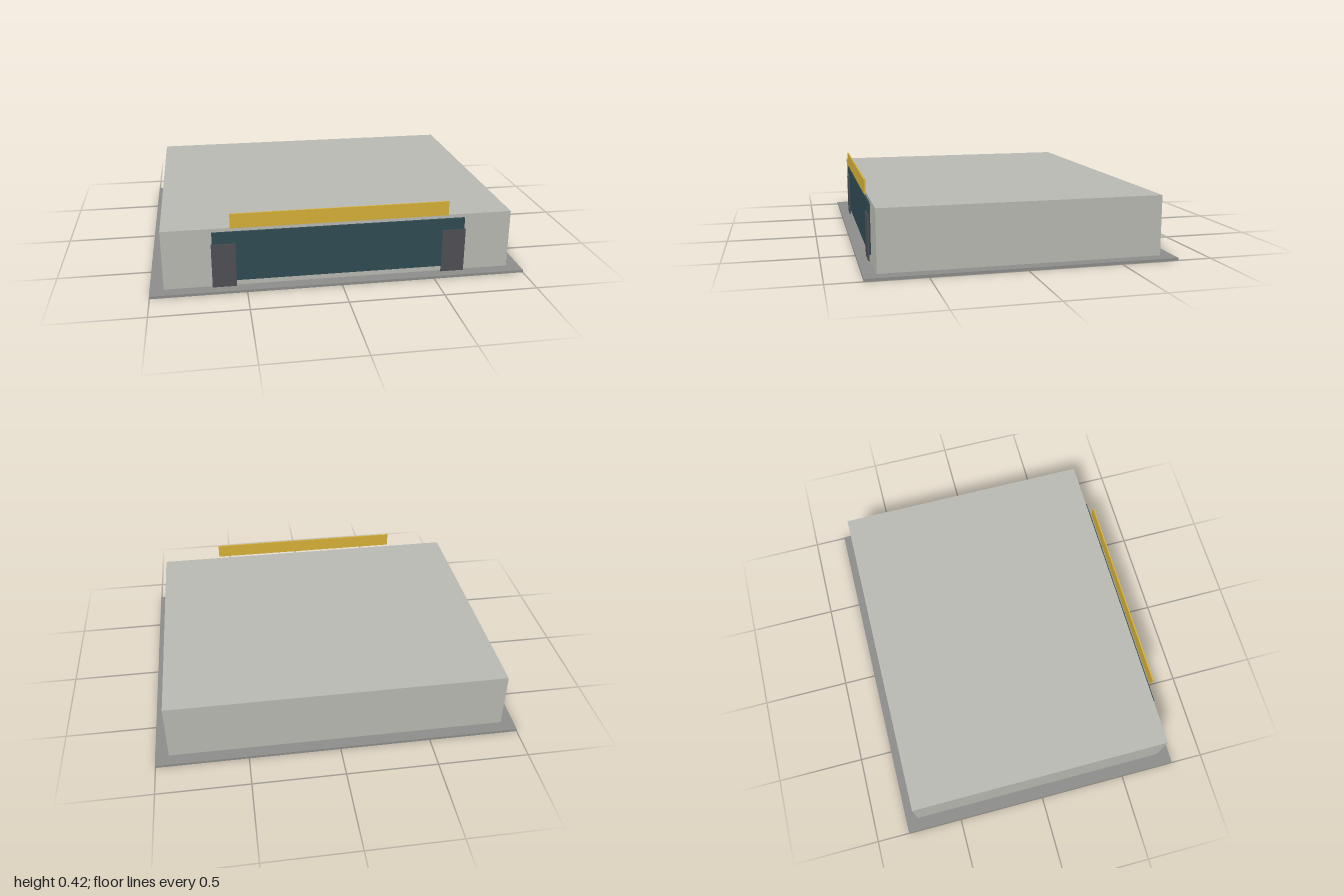
import * as THREE from 'three';

// Box given by its lower and upper bounds on each axis
function block(name, color, [x0, x1], [y0, y1], [z0, z1]) {
  const mesh = new THREE.Mesh(
    new THREE.BoxGeometry(x1 - x0, y1 - y0, z1 - z0),
    new THREE.MeshStandardMaterial({ color })
  );
  mesh.position.set((x0 + x1) / 2, (y0 + y1) / 2, (z0 + z1) / 2);
  mesh.name = name;
  return mesh;
}

export function createModel() {
  const model = new THREE.Group();
  model.name = 'storeBuilding';

  // Ground slab and main hall
  model.add(block('groundSlab', 0x8c8c8a, [-1, 1], [0, 0.014], [-0.814, 0.814]));
  model.add(block('mainHall', 0xb8b8b2, [-0.929, 0.929], [0.014, 0.337], [-0.745, 0.745]));

  // Glazed shopfront with the sign band floating above it
  model.add(block('shopWindow', 0x2f4a52, [-0.671, 0.671], [0.044, 0.318], [0.745, 0.755]));
  model.add(block('signBand', 0xd4af37, [-0.576, 0.576], [0.342, 0.42], [0.755, 0.763]));

  // Entrance doors at both ends of the window
  for (const [name, x] of [['leftDoor', 0.614], ['rightDoor', -0.614]]) {
    model.add(block(name, 0x4e4e54, [x - 0.063, x + 0.063], [0.014, 0.254], [0.753, 0.761]));
  }

  return model;
}
